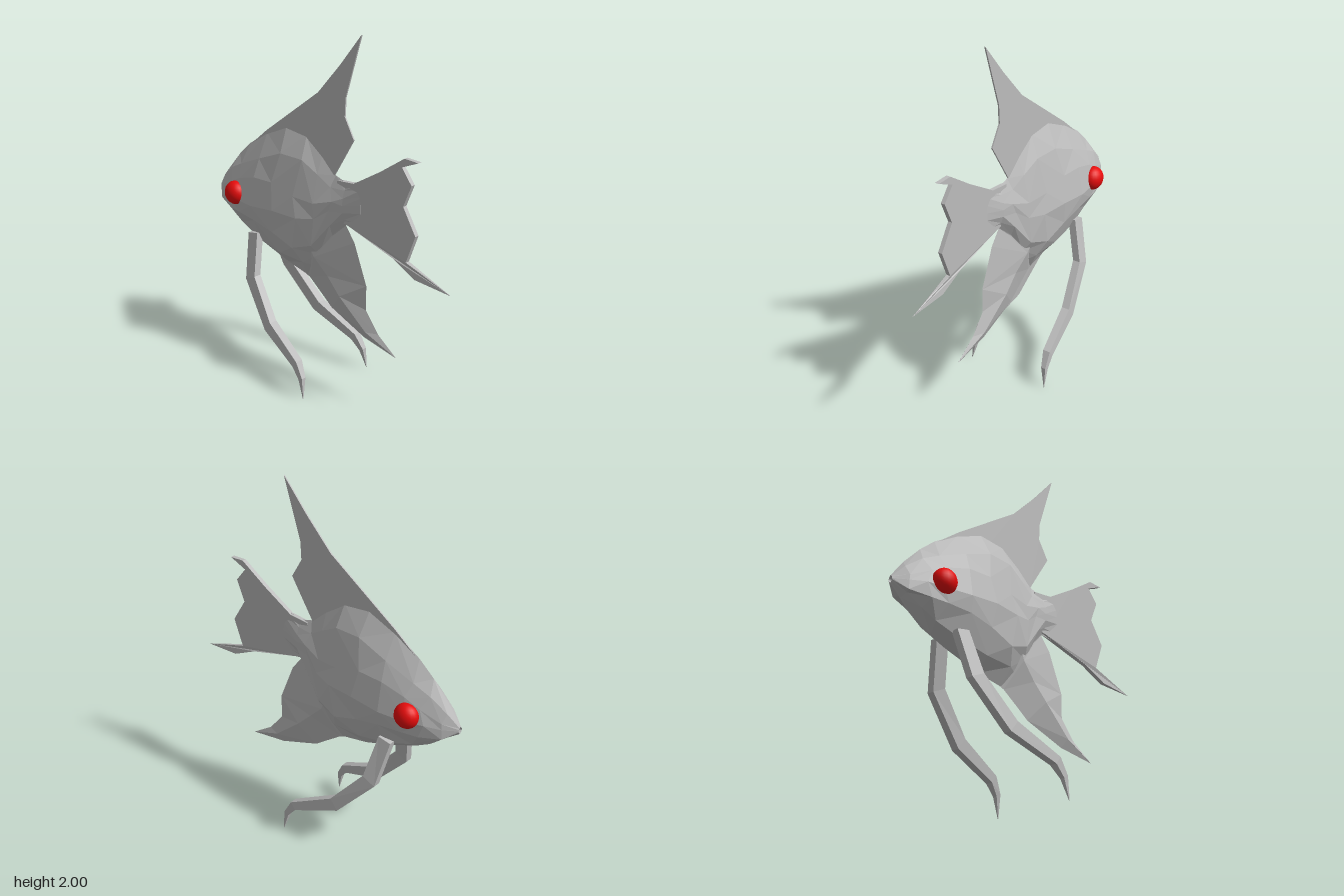
import * as THREE from 'three';

const grey = new THREE.MeshStandardMaterial({ color: 0xbcbcbc, flatShading: true });
grey.name = 'silver grey';
const red = new THREE.MeshStandardMaterial({ color: 0xe80c0c });
red.name = 'eye red';

// Skin over closed rings of [x, y, z]; optional centre points close the ends.
function loft(name, rings, startPole, endPole) {
  const n = rings[0].length, pos = [];
  const tri = (a, b, c) => pos.push(...a, ...b, ...c);
  for (let i = 0; i < rings.length - 1; i++) {
    for (let j = 0; j < n; j++) {
      const k = (j + 1) % n;
      const a = rings[i][j], b = rings[i][k], c = rings[i + 1][k], d = rings[i + 1][j];
      // diagonals mirror each other on the two sides
      if ((j < n / 2) === (i % 2 === 0)) { tri(a, b, d); tri(b, c, d); }
      else { tri(a, b, c); tri(a, c, d); }
    }
  }
  const last = rings[rings.length - 1];
  for (let j = 0; j < n; j++) {
    const k = (j + 1) % n;
    if (startPole) tri(startPole, rings[0][k], rings[0][j]);
    if (endPole) tri(endPole, last[j], last[k]);
  }
  const g = new THREE.BufferGeometry();
  g.setAttribute('position', new THREE.Float32BufferAttribute(pos, 3));
  g.computeVertexNormals();
  const mesh = new THREE.Mesh(g, grey);
  mesh.name = name;
  return mesh;
}

// Thin plate in the middle plane from a [z, y] outline.
function plate(name, outline, depth, thinFrom = Infinity) {
  const shape = new THREE.Shape(outline.map(([z, y]) => new THREE.Vector2(z, y)));
  const g = new THREE.ExtrudeGeometry(shape, { depth, bevelEnabled: false });
  g.rotateY(-Math.PI / 2);
  g.translate(depth / 2, 0, 0);
  const p = g.attributes.position;
  for (let i = 0; i < p.count; i++) if (p.getZ(i) > thinFrom) p.setX(i, p.getX(i) * 0.1);
  g.computeVertexNormals();
  const mesh = new THREE.Mesh(g, grey);
  mesh.name = name;
  return mesh;
}

function makeBody() {
  // z, keel, jaw crease, back, half width
  const rows = [
    [-0.87, 0.93, 0.945, 0.972, 0.014],
    [-0.80, 0.878, 0.905, 1.07, 0.062],
    [-0.70, 0.795, 0.885, 1.18, 0.098],
    [-0.61, 0.745, 0.868, 1.26, 0.115],
    [-0.46, 0.685, 0.85, 1.355, 0.13],
    [-0.30, 0.63, 0.83, 1.425, 0.125],
    [-0.14, 0.60, 0.80, 1.41, 0.108],
    [-0.02, 0.68, 0.85, 1.33, 0.08],
    [0.08, 0.84, 0.98, 1.24, 0.052],
    [0.16, 0.985, 1.06, 1.218, 0.035],
    [0.27, 0.97, 1.08, 1.25, 0.013],
  ];
  const rings = rows.map(([z, keel, crease, back, w], i) => {
    const h = back - crease;
    const wob = (k) => (i > 0 && i < 9 ? Math.sin(i * 5.3 + k * 2.9) : 0);
    const side = [
      [w * 0.5, keel + (crease - keel) * 0.45],
      [w * 0.96, crease],
      [w, crease + h * 0.25],
      [w * 0.86, crease + h * 0.5],
      [w * 0.5, crease + h * 0.76],
    ].map(([x, y], k) => [x * (1 + 0.05 * wob(k)), y + h * 0.04 * wob(k + 3), z + 0.018 * wob(k + 7)]);
    return [[0, keel, z], ...side, [0, back, z],
      ...side.slice().reverse().map(([x, y, zz]) => [-x, y, zz])];
  });
  return loft('body', rings, [0, 0.945, -0.835], [0, 1.1, 0.28]);
}

function makeAnalFin() {
  // lower edge z, y / ridge z, y, half width / rear edge z, y
  const rows = [
    [-0.20, 0.62, -0.10, 0.90, 0.075, 0.15, 0.99],
    [-0.12, 0.59, -0.03, 0.76, 0.058, 0.22, 0.90],
    [-0.03, 0.525, 0.06, 0.67, 0.042, 0.31, 0.68],
    [0.05, 0.465, 0.15, 0.58, 0.042, 0.31, 0.54],
    [0.30, 0.375, 0.33, 0.425, 0.024, 0.40, 0.43],
    [0.53, 0.34, 0.53, 0.341, 0.001, 0.53, 0.342],
  ];
  return loft('analFin', rows.map(([z0, y0, z1, y1, w, z2, y2]) =>
    [[0, y0, z0], [w, y1, z1], [0, y2, z2], [-w, y1, z1]]));
}

function makePelvicFin(side) {
  // front edge z, y / back edge z, y / inner x, outer x
  const rows = [
    [-0.525, 0.77, -0.45, 0.785, 0.055, 0.10],
    [-0.48, 0.515, -0.405, 0.55, 0.122, 0.166],
    [-0.27, 0.28, -0.225, 0.34, 0.165, 0.213],
    [0.00, 0.17, 0.03, 0.21, 0.207, 0.25],
    [0.05, 0.11, 0.077, 0.125, 0.225, 0.252],
    [0.083, 0.005, 0.086, 0.006, 0.249, 0.252],
  ];
  const rings = rows.map(([zf, yf, zb, yb, xi, xo]) => {
    const r = [[xi, yf, zf], [xo, yf, zf], [xo, yb, zb], [xi, yb, zb]];
    return side > 0 ? r : r.map(([x, y, z]) => [-x, y, z]).reverse();
  });
  return loft(side > 0 ? 'leftPelvicFin' : 'rightPelvicFin', rings,
    [side * 0.078, 0.778, -0.487], [side * 0.25, 0.002, 0.085]);
}

export function createModel() {
  const fish = new THREE.Group();
  fish.name = 'fish';
  fish.add(makeBody(), makeAnalFin());

  fish.add(plate('dorsalFin', [
    [-0.61, 1.25], [-0.30, 1.30], [0.0, 1.22], [0.07, 1.235], [0.21, 1.46], [0.145, 1.57],
    [0.15, 1.67], [0.255, 2.0], [0.11, 1.83], [-0.05, 1.66], [-0.46, 1.37],
  ], 0.008));

  fish.add(plate('tailFin', [
    [0.10, 1.0], [0.18, 0.99], [0.50, 0.905], [0.65, 0.835], [0.87, 0.82], [0.74, 0.865],
    [0.588, 0.91], [0.645, 1.065], [0.56, 1.20], [0.61, 1.32], [0.545, 1.40],
    [0.648, 1.445], [0.56, 1.448], [0.40, 1.34], [0.22, 1.232], [0.10, 1.22],
  ], 0.024, 0.66));

  // paired parts
  for (const side of [1, -1]) {
    fish.add(makePelvicFin(side));
    const eye = new THREE.Mesh(new THREE.SphereGeometry(0.068, 20, 14), red);
    eye.name = side > 0 ? 'leftEye' : 'rightEye';
    eye.scale.x = 0.85;
    eye.position.set(side * 0.107, 0.988, -0.622);
    fish.add(eye);
  }
  return fish;
}
